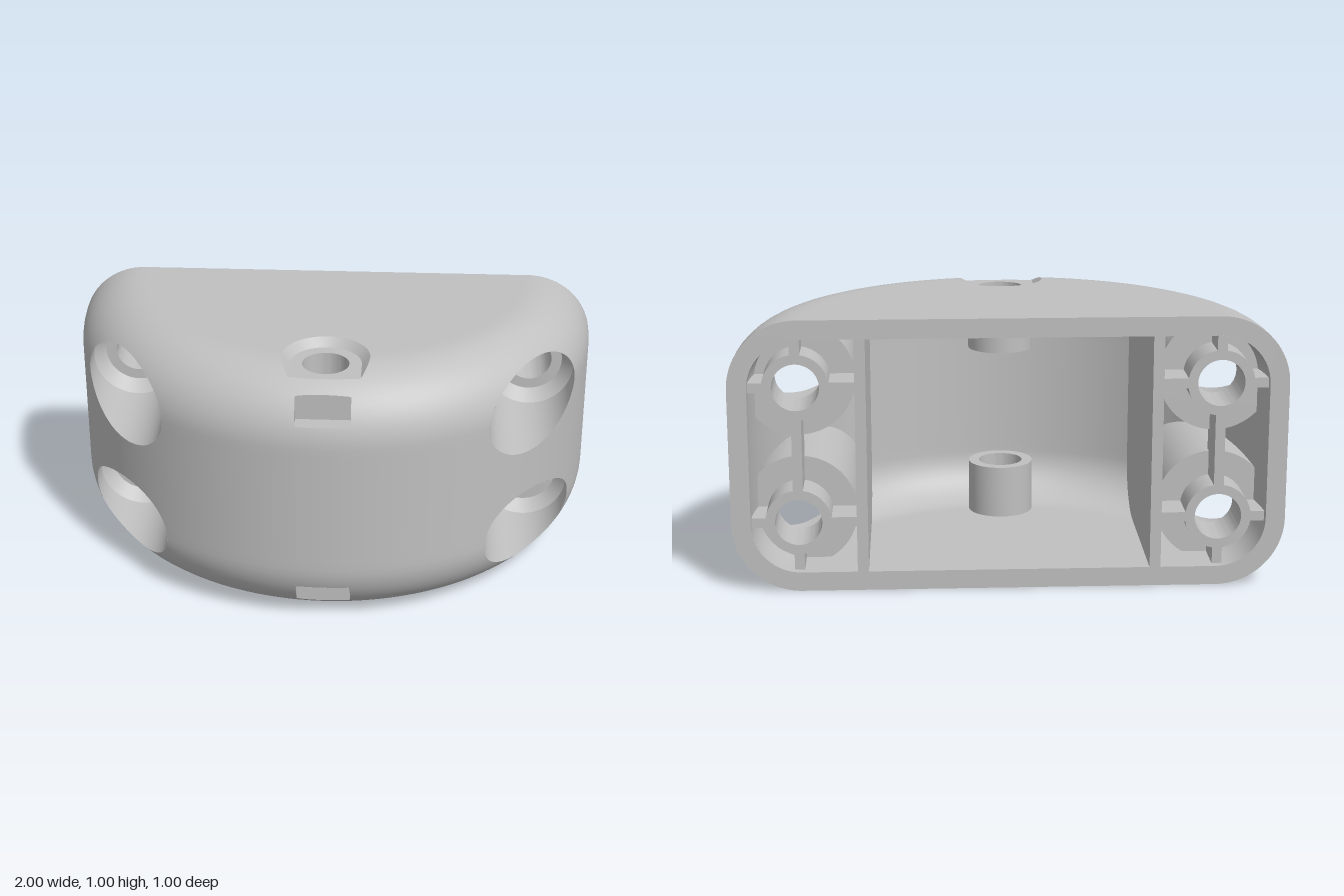
import * as THREE from 'three';
import { toCreasedNormals } from 'three/addons/utils/BufferGeometryUtils.js';

const WALL = 0.07, BX = 0.76, BY = 0.25;           // wall thickness, screw post offsets
const EYE_Z = 0.245, BACK = -0.5;
const { hypot, abs, max, min, PI } = Math;

// Distance rules used for trimming (negative = inside)
const body = (p, inset) => {
  const a = hypot(p.x, p.z - BACK) - 0.75, b = abs(p.y - 0.5) - 0.25;
  return hypot(max(a, 0), max(b, 0)) + min(max(a, b), 0) - 0.25 + inset;
};
const within = inset => p => -body(p, inset);
const post = p => hypot(abs(p.x) - BX, abs(p.y - 0.5) - BY);
const offPocket = p => max(post(p) - 0.165, -0.27 - p.z);
const offBore = p => hypot(p.x, p.z - EYE_Z) - 0.085;
const arch = p => hypot(p.x, min(p.z - EYE_Z, 0));
const offRecess = p => {
  const h = abs(p.y - 0.5);
  return max(arch(p) - 0.13 - (h - 0.47), 0.47 - h);
};
const offNotch = p => max(abs(p.x) - 0.1, 0.335 - abs(p.y - 0.5), 0.42 - p.z);

// Trim a geometry, keeping what lies where every rule is positive
function cut(geo, ...rules) {
  let g = geo.index ? geo.toNonIndexed() : geo;
  for (const rule of rules) {
    const P = g.attributes.position, N = g.attributes.normal, pos = [], nor = [];
    for (let i = 0; i < P.count; i += 3) {
      const tri = [0, 1, 2].map(k => {
        const p = new THREE.Vector3().fromBufferAttribute(P, i + k);
        return { p, n: new THREE.Vector3().fromBufferAttribute(N, i + k), keep: rule(p) > 0 };
      });
      const poly = [];
      tri.forEach((a, k) => {
        const b = tri[(k + 1) % 3];
        if (a.keep) poly.push(a);
        if (a.keep === b.keep) return;
        let lo = 0, hi = 1;
        for (let s = 0; s < 14; s++) {
          const m = (lo + hi) / 2;
          if ((rule(a.p.clone().lerp(b.p, m)) > 0) === a.keep) lo = m; else hi = m;
        }
        poly.push({ p: a.p.clone().lerp(b.p, lo), n: a.n.clone().lerp(b.n, lo).normalize() });
      });
      for (let k = 1; k + 1 < poly.length; k++)
        for (const v of [poly[0], poly[k], poly[k + 1]]) {
          pos.push(v.p.x, v.p.y, v.p.z);
          nor.push(v.n.x, v.n.y, v.n.z);
        }
    }
    g = new THREE.BufferGeometry();
    g.setAttribute('position', new THREE.Float32BufferAttribute(pos, 3));
    g.setAttribute('normal', new THREE.Float32BufferAttribute(nor, 3));
  }
  return g;
}

// Half-round shell surface, set in from the outside by a given amount
function shell(inset, inward) {
  const pts = [], v = (x, y) => pts.push(new THREE.Vector2(x, y)), r = 0.25 - inset;
  for (let i = 0; i < 26; i++) v(0.75 * i / 26, inset);
  for (let i = 0; i <= 14; i++) {
    const a = PI / 2 * i / 14;
    v(0.75 + r * Math.sin(a), 0.25 - r * Math.cos(a));
  }
  for (let i = 1; i <= 7; i++) v(0.75 + r, 0.25 + 0.25 * i / 7);
  const all = pts.concat(pts.slice(0, -1).reverse().map(p => new THREE.Vector2(p.x, 1 - p.y)));
  if (inward) all.reverse();
  return new THREE.LatheGeometry(all, 128, -PI / 2, PI).translate(0, 0, BACK);
}

// Turned part with crisp edges
const turned = pts => toCreasedNormals(
  new THREE.LatheGeometry(pts.map(([r, y]) => new THREE.Vector2(r, y)), 64), 0.4);

// Box given by its limits
const block = (x0, x1, y0, y1, z0, z1, nx, ny, nz) =>
  new THREE.BoxGeometry(x1 - x0, y1 - y0, z1 - z0, nx, ny, nz)
    .translate((x0 + x1) / 2, (y0 + y1) / 2, (z0 + z1) / 2);

function roundedRect(Type, w, h, r) {
  const s = new Type();
  s.absarc(w - r, h - r, r, 0, PI / 2);
  s.absarc(r - w, h - r, r, PI / 2, PI);
  s.absarc(r - w, r - h, r, PI, PI * 1.5);
  s.absarc(w - r, r - h, r, PI * 1.5, PI * 2);
  s.closePath();
  return s;
}

// Sloping U-shaped wall around the eyelet recess
function recessWall() {
  const g = new THREE.PlaneGeometry(1, 1, 60, 3), P = g.attributes.position;
  for (let i = 0; i < P.count; i++) {
    const u = P.getX(i) + 0.5, v = P.getY(i) + 0.5, r = 0.13 + 0.04 * v;
    const a = PI * THREE.MathUtils.clamp((u - 0.2) / 0.6, 0, 1);
    const run = max(0.2 - u, u - 0.8, 0) * 1.2;
    P.setXYZ(i, -r * Math.cos(a), 0.97 + 0.04 * v, EYE_Z - r * Math.sin(a) + run);
  }
  g.computeVertexNormals();
  return g;
}

export function createModel() {
  const model = new THREE.Group();
  model.name = 'housing';
  const grey = new THREE.MeshStandardMaterial({ color: 0xc0c0c0, side: THREE.DoubleSide });
  grey.name = 'light grey';
  const add = (name, geo, parent = model) => {
    const m = new THREE.Mesh(geo, grey);
    m.name = name;
    parent.add(m);
    return m;
  };

  // Shell and its back rim
  add('outerShell', cut(shell(0), offPocket, offRecess, offNotch));
  add('innerShell', cut(shell(WALL, true), offPocket, p => max(offBore(p), -p.z)));
  const rim = roundedRect(THREE.Shape, 1, 0.5, 0.25);
  rim.holes.push(roundedRect(THREE.Path, 1 - WALL, 0.5 - WALL, 0.25 - WALL));
  add('backRim', new THREE.ShapeGeometry(rim, 16).rotateY(PI).translate(0, 0.5, BACK));

  for (const s of [-1, 1]) {
    const x = s * BX, outer = s * 0.98, wall = s * 0.54;
    // Dividing wall beside the centre cavity
    add('divider', cut(block(s * 0.53 - 0.02, s * 0.53 + 0.02, 0, 1, BACK, 0.5, 1, 40, 40),
      within(WALL - 0.01)));
    // Upright rib through both posts
    add('uprightRib', cut(block(x - 0.018, x + 0.018, 0, 1, -0.47, -0.3, 1, 60, 4),
      p => post(p) - 0.1, within(WALL - 0.01)));
    for (const y of [0.25, 0.75]) {
      add('crossRib', cut(block(min(outer, wall), max(outer, wall), y - 0.018, y + 0.018,
        -0.47, -0.3, 30, 1, 4), p => post(p) - 0.1, within(WALL - 0.01)));
      // Screw pocket, bore and the post around them
      const place = g => g.rotateX(PI / 2).translate(x, y, 0);
      add('screwPocket', cut(place(turned([[0.165, 0.45], [0.165, -0.22], [0.125, -0.27],
        [0.085, -0.27], [0.085, -0.47], [0.12, -0.47]])), within(0)));
      add('screwPost', cut(place(turned([[0.12, -0.47], [0.12, -0.33], [0.21, -0.33],
        [0.21, 0.45]])), within(WALL - 0.01)));
    }
  }

  // Eyelet and notch on the top, repeated underneath
  for (const under of [false, true]) {
    const eye = new THREE.Group();
    eye.name = under ? 'lowerEyelet' : 'upperEyelet';
    if (under) {
      eye.rotation.z = PI;
      eye.position.y = 1;
    }
    add('recessFloor', cut(new THREE.PlaneGeometry(0.4, 0.4, 32, 32).rotateX(-PI / 2)
      .translate(0, 0.97, EYE_Z), p => 0.13 - arch(p), offBore, within(0)), eye);
    add('recessWall', cut(recessWall(), within(0)), eye);
    add('eyeletBoss', turned([[0.085, 0.97], [0.085, 0.73], [0.125, 0.73], [0.125, 0.95]])
      .translate(0, 0, EYE_Z), eye);
    add('notch', cut(block(-0.1, 0.1, 0.835, 0.96, 0.42, 0.52, 10, 8, 8), within(0)), eye);
    model.add(eye);
  }
  return model;
}
